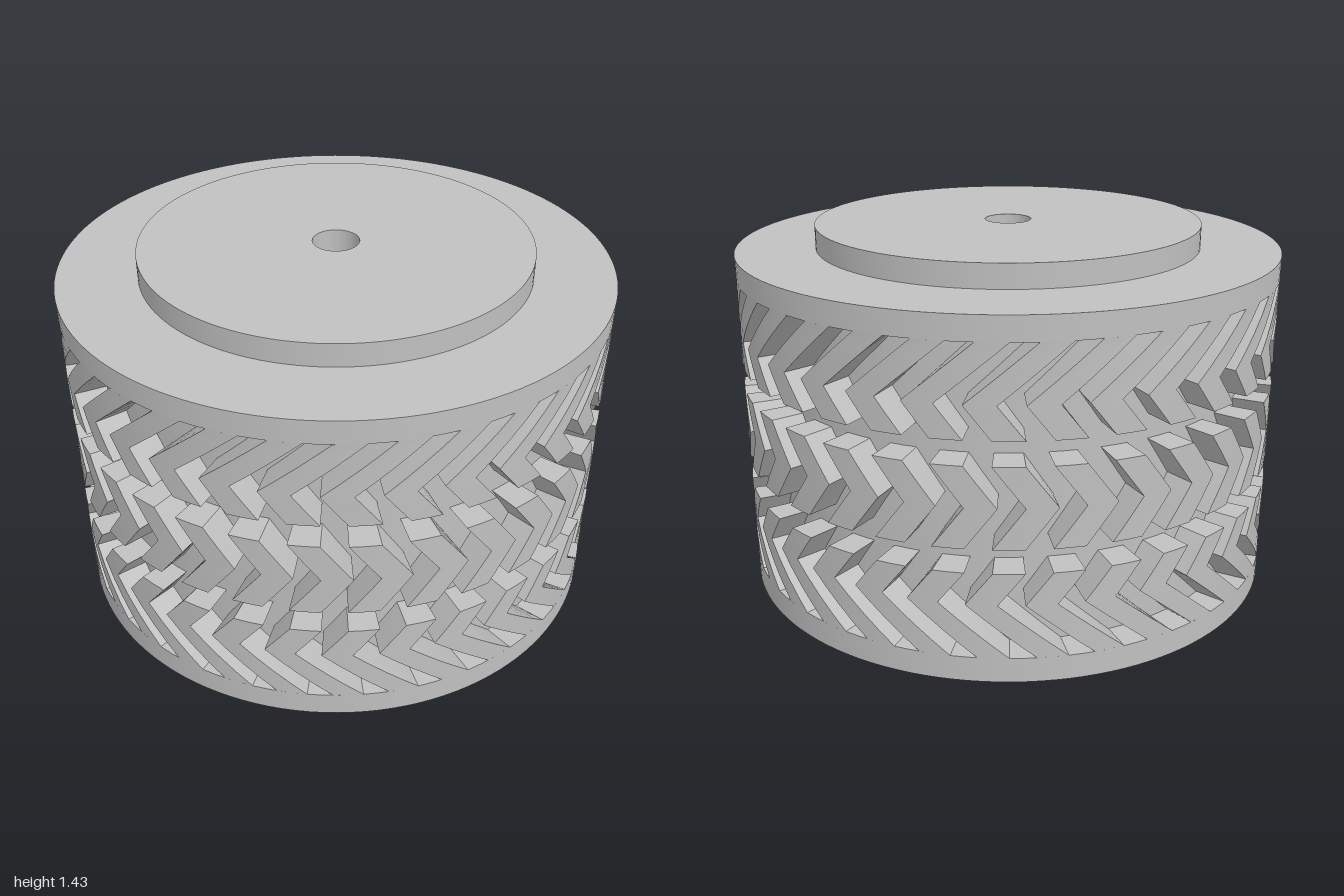
import * as THREE from 'three';
import { toCreasedNormals } from 'three/addons/utils/BufferGeometryUtils.js';

const COUNT = 32;        // tread blocks in each row
const HALF = 0.053;      // half width of a block, in radians
const OUTER = 1;
const CORE = 0.885;

// Chevron block: cross-sections stacked in y and shifted around the axis
function blockGeometry(ys, shifts, steps = 4) {
  const pos = [], index = [], n = 5;
  const ring = (y, a) => {
    for (const [r, d] of [[OUTER, -HALF], [OUTER, 0], [OUTER, HALF], [CORE - 0.005, HALF], [CORE - 0.005, -HALF]]) {
      pos.push(r * Math.sin(a + d), y, r * Math.cos(a + d));
    }
  };
  for (let h = 0; h < 2; h++) {
    for (let s = h; s <= steps; s++) {
      if (h === 1 && s === 0) continue;
      const t = s / steps;
      ring(THREE.MathUtils.lerp(ys[h], ys[h + 1], t), THREE.MathUtils.lerp(shifts[h], shifts[h + 1], t));
    }
  }
  const rings = pos.length / (3 * n);
  for (let i = 0; i < rings - 1; i++) {
    for (let j = 0; j < n; j++) {
      const a = i * n + j, b = i * n + (j + 1) % n;
      index.push(a, b, b + n, a, b + n, a + n);
    }
  }
  // End caps
  const top = (rings - 1) * n;
  for (let j = 0; j < 3; j++) {
    index.push(4, j + 1, j);
    index.push(top + 4, top + j, top + j + 1);
  }
  const geo = new THREE.BufferGeometry();
  geo.setAttribute('position', new THREE.Float32BufferAttribute(pos, 3));
  geo.setIndex(index);
  return toCreasedNormals(geo, 0.35);
}

export function createModel() {
  const model = new THREE.Group();
  model.name = 'treadedWheel';
  const grey = new THREE.MeshStandardMaterial({ color: 0xc0c0c0 });
  grey.name = 'grey';

  // Wheel body: bore, raised hubs, shoulders and recessed tread floor
  const profile = [
    [0.085, 0], [0.71, 0], [0.71, 0.09], [OUTER, 0.09], [OUTER, 0.18], [CORE, 0.18],
    [CORE, 1.26], [OUTER, 1.26], [OUTER, 1.345], [0.71, 1.345], [0.71, 1.43], [0.085, 1.43], [0.085, 0],
  ].map(([r, y]) => new THREE.Vector2(r, y));
  const body = new THREE.Mesh(toCreasedNormals(new THREE.LatheGeometry(profile, 128), 0.5), grey);
  body.name = 'wheelBody';
  model.add(body);

  // Three rows of chevron tread blocks
  const rows = [
    { name: 'lowerTread', ys: [0.18, 0.375, 0.49], shifts: [0.235, 0, 0.09] },
    { name: 'middleTread', ys: [0.575, 0.7175, 0.86], shifts: [-0.107, 0, -0.107] },
    { name: 'upperTread', ys: [0.945, 1.06, 1.26], shifts: [0.09, 0, 0.235] },
  ];
  for (const { name, ys, shifts } of rows) {
    const row = new THREE.Group();
    row.name = name;
    const geo = blockGeometry(ys, shifts);
    for (let i = 0; i < COUNT; i++) {
      const block = new THREE.Mesh(geo, grey);
      block.name = 'treadBlock';
      block.rotation.y = (i / COUNT) * Math.PI * 2;
      row.add(block);
    }
    model.add(row);
  }
  return model;
}
